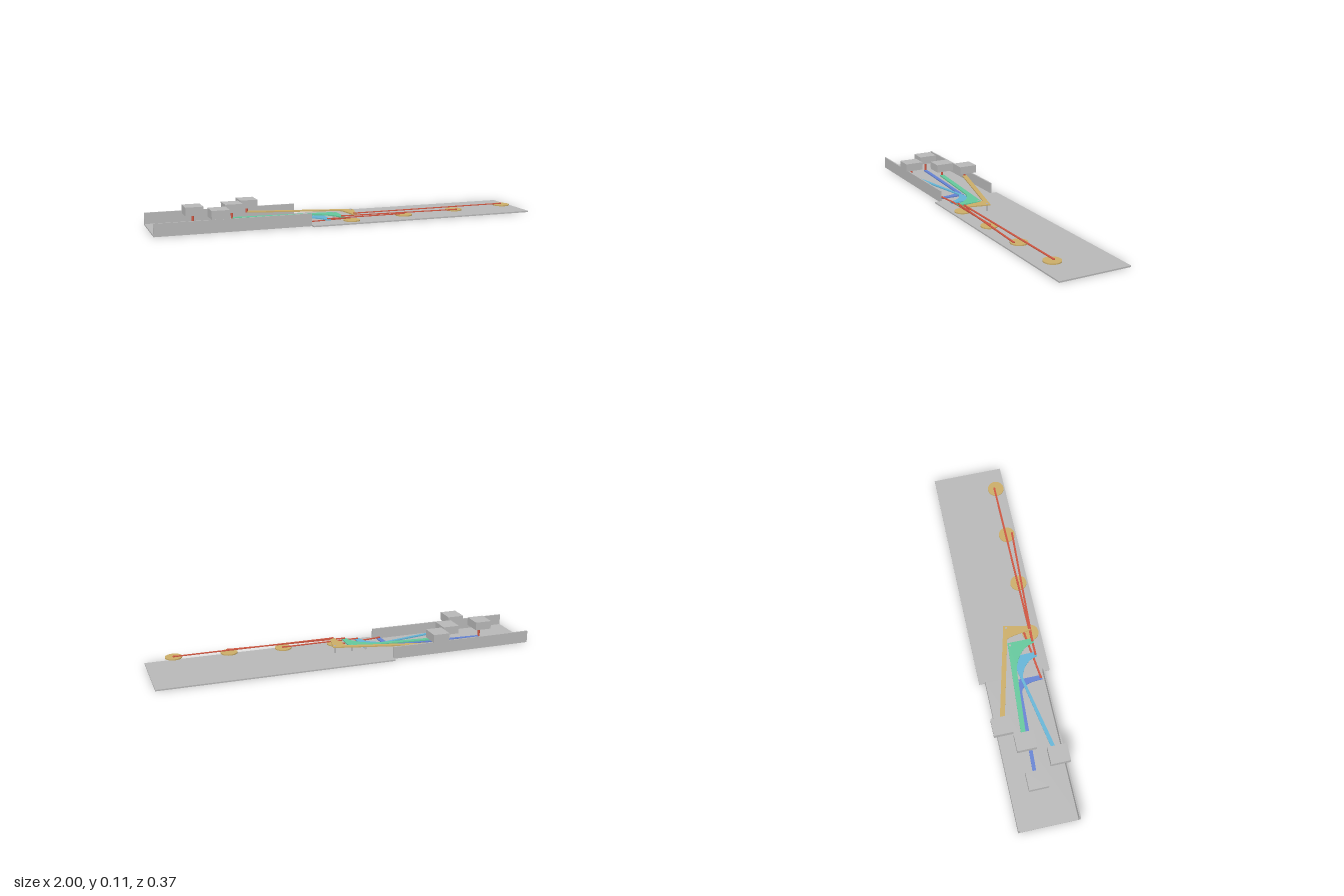
import * as THREE from 'three';

const mat = (name, color) => {
  const m = new THREE.MeshStandardMaterial({ color });
  m.name = name;
  return m;
};

export function createModel() {
  const root = new THREE.Group();
  const grey = mat('grey', 0xb8b8b8);
  const gold = mat('gold', 0xcbad68);
  const blue = mat('blue', 0x6482d2);
  const cyan = mat('cyan', 0x64b4d6);
  const green = mat('green', 0x64c89c);
  const red = mat('red', 0xce5540);

  const add = (name, geometry, material, x = 0, y = 0, z = 0) => {
    const mesh = new THREE.Mesh(geometry, material);
    mesh.name = name;
    mesh.position.set(x, y, z);
    root.add(mesh);
    return mesh;
  };
  // box given by its extents
  const block = (name, x0, x1, y0, y1, z0, z1, m) =>
    add(name, new THREE.BoxGeometry(x1 - x0, y1 - y0, z1 - z0), m,
      (x0 + x1) / 2, (y0 + y1) / 2, (z0 + z1) / 2);
  // upright round pin between two heights
  const pin = (name, x, z, y0, y1, r, m) =>
    add(name, new THREE.CylinderGeometry(r, r, y1 - y0, 16), m, x, (y0 + y1) / 2, z);

  // base tray with two side walls
  block('widePlate', -0.22, 1, 0, 0.007, -0.187, 0.187, grey);
  block('narrowPlate', -1, -0.22, 0, 0.007, -0.156, 0.156, grey);
  for (const s of [-1, 1]) {
    const z = s * 0.152;
    block('sideWall', -1, -0.22, 0.007, 0.064, z - 0.004, z + 0.004, grey);
  }

  // one linkage per layer: key, bell crank, rod and disc.
  // All plan points are [x, z]; corner is the outer elbow, tip the rod end.
  const T = 0.006;
  const linkages = [
    { name: 'blue', m: blue, y: 0.010, key: [-0.782, -0.0135], corner: [-0.24, 0.003],
      tip: [-0.252, 0.138], half: 0.009, inner: [-0.31, 0.02], bend: [-0.262, 0.03],
      pivot: [-0.25, 0.0125], disc: 0, hole: [0, 0.101] },
    { name: 'cyan', m: cyan, y: 0.0195, key: [-0.681, 0.12], corner: [-0.115, 0.005],
      tip: [-0.126, 0.138], half: 0.011, inner: [-0.235, 0.04], bend: [-0.15, 0.065],
      pivot: [-0.13, 0.0125], disc: 0.287, hole: [0.287, 0.13] },
    { name: 'green', m: green, y: 0.029, key: [-0.582, -0.0275], corner: [-0.04, 0.002],
      tip: [-0.052, 0.138], half: 0.012, inner: [-0.19, 0.018], bend: [-0.08, 0.05],
      pivot: [-0.055, 0.0125], disc: 0.575, hole: [0.575, 0.163] },
    { name: 'gold', m: gold, y: 0.0385, key: [-0.482, -0.1235], corner: [0.055, 0.0],
      tip: [0.015, 0.135], half: 0.013, inner: [-0.02, 0.005], bend: [-0.006, 0.03],
      pivot: [0.04, 0.0125], disc: 0.86, hole: [0.86, 0.126] },
  ];

  for (const L of linkages) {
    const top = L.y + T;
    const [kx, kz] = L.key, [cx, cz] = L.corner, [tx, tz] = L.tip;

    // key cap and its stem
    block('keyCap', kx - 0.0445, kx + 0.0445, 0.067, 0.11, kz - 0.05, kz + 0.05, grey);
    pin('keyStem', kx, kz, L.y, 0.067, 0.006, red);

    // bell crank: long bar, outer elbow, tapered arm with a curved inside
    const s = new THREE.Shape();
    s.moveTo(kx, -(kz - L.half));
    s.lineTo(cx, -cz);
    s.lineTo(tx + 0.012, -tz);
    s.lineTo(tx - 0.012, -tz);
    s.quadraticCurveTo(L.bend[0], -L.bend[1], L.inner[0], -L.inner[1]);
    s.lineTo(kx, -(kz + L.half));
    s.closePath();
    const crank = new THREE.ExtrudeGeometry(s, { depth: T, bevelEnabled: false, curveSegments: 10 });
    crank.rotateX(-Math.PI / 2);
    add(L.name + 'BellCrank', crank, L.m, 0, L.y, 0);

    // pivot post
    pin('pivotPost', ...L.pivot, 0.007, top + 0.003, 0.0055, grey);

    // disc
    pin('disc', L.disc, 0.134, L.y, top, 0.043, gold).geometry =
      new THREE.CylinderGeometry(0.043, 0.043, T, 40);

    // connecting rod with a pin at each end
    const [hx, hz] = L.hole;
    const dx = hx - tx, dz = hz - (tz - 0.006);
    const rod = add('connectingRod', new THREE.BoxGeometry(Math.hypot(dx, dz), 0.004, 0.01), red,
      (hx + tx) / 2, top + 0.002, (hz + tz - 0.006) / 2);
    rod.rotation.y = -Math.atan2(dz, dx);
    pin('rodPin', hx, hz, L.y - 0.001, top + 0.005, 0.006, red);
    pin('rodPin', tx, tz - 0.006, L.y - 0.001, top + 0.005, 0.006, red);
  }
  return root;
}
